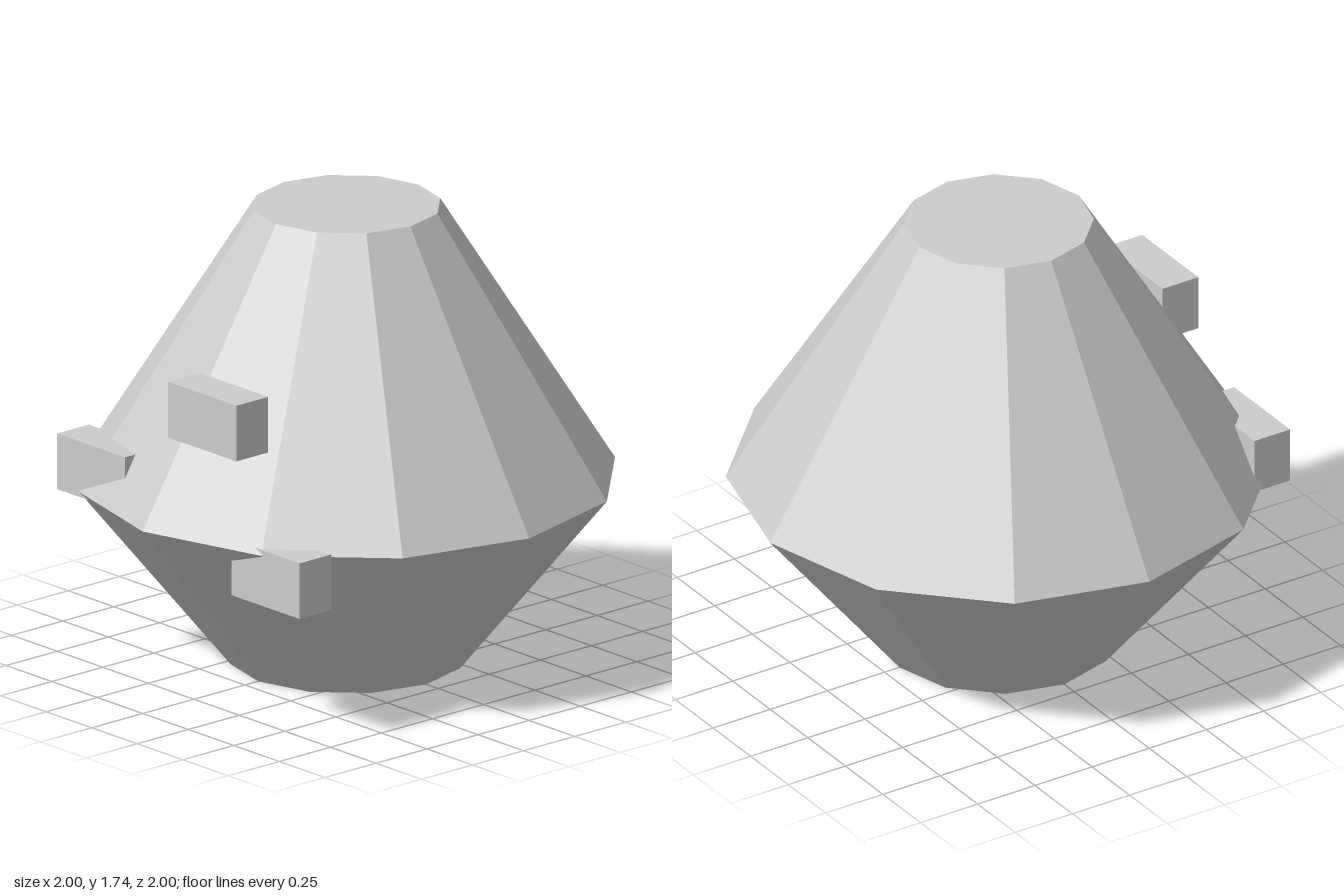
import * as THREE from 'three';

export function createModel() {
  const group = new THREE.Group();
  const grey = new THREE.MeshStandardMaterial({ color: 0xcccccc, flatShading: true });
  grey.name = 'light grey';

  // Twelve-sided double-tapered body, closed at both ends
  const profile = [[0, 0], [0.435, 0], [1, 0.7], [0.348, 1.74], [0, 1.74]]
    .map(([r, y]) => new THREE.Vector2(r, y));
  const body = new THREE.Mesh(new THREE.LatheGeometry(profile, 12), grey);
  body.name = 'body';
  group.add(body);

  // Three equal blocks set into the front of the body
  const blockGeometry = new THREE.BoxGeometry(0.374, 0.214, 0.156);
  const blocks = [
    ['upperBlock', 0.172, 1.135],
    ['leftBlock', 0.519, 0.614],
    ['rightBlock', -0.439, 0.786],
  ];
  for (const [name, x, y] of blocks) {
    const block = new THREE.Mesh(blockGeometry, grey);
    block.name = name;
    block.position.set(x, y, 0.784);
    group.add(block);
  }
  return group;
}
